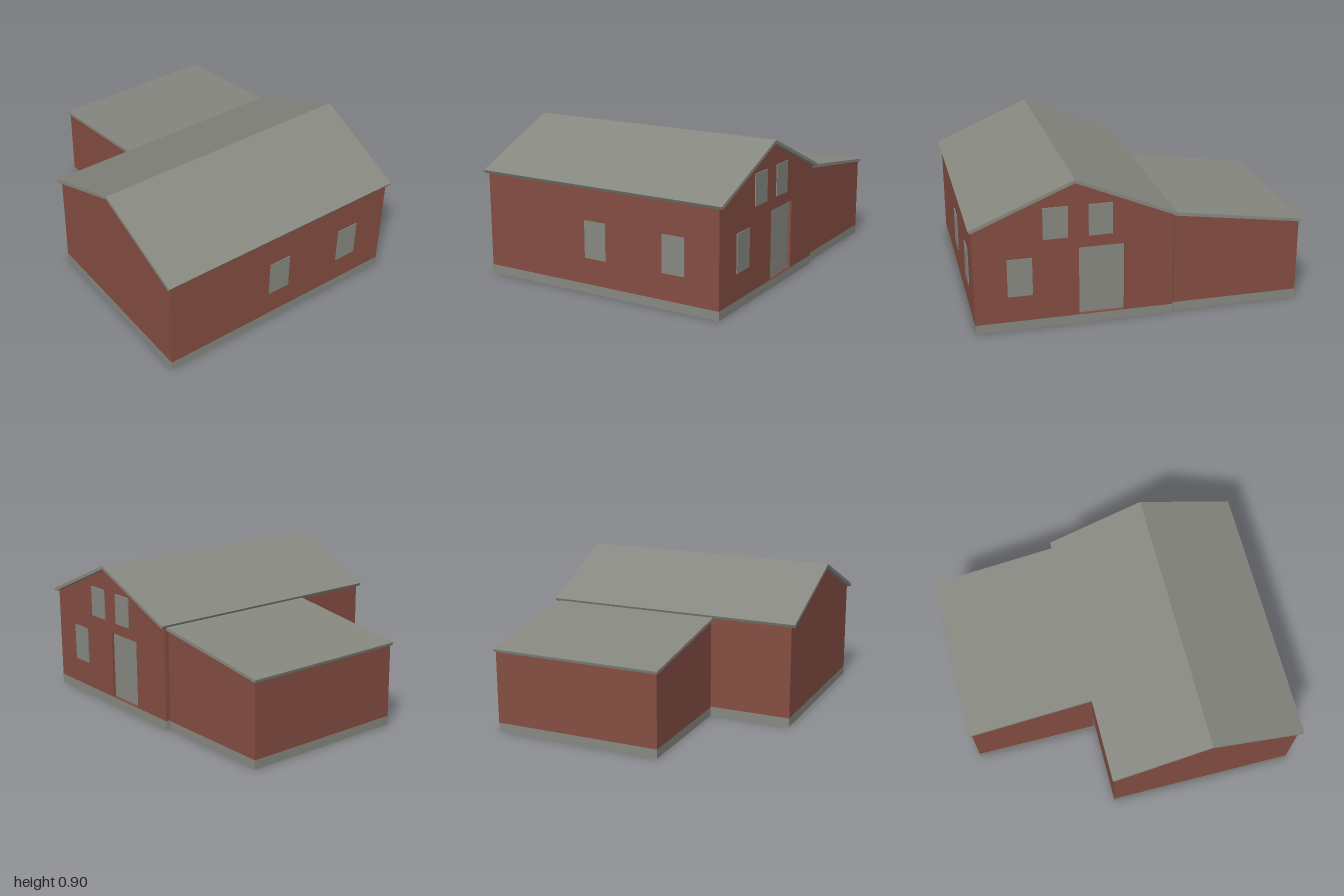
import * as THREE from 'three';

const brick = new THREE.MeshStandardMaterial({ color: 0x844d42, side: THREE.DoubleSide });
brick.name = 'brick red';
const grey = new THREE.MeshStandardMaterial({ color: 0x868880, side: THREE.DoubleSide });
grey.name = 'slate grey';

const BAND = 0.055; // plinth height

function add(group, name, geometry, material, x = 0, y = 0, z = 0) {
  const mesh = new THREE.Mesh(geometry, material);
  mesh.name = name;
  mesh.position.set(x, y, z);
  group.add(mesh);
  return mesh;
}

const polygon = (points) => new THREE.Shape(points.map(([x, y]) => new THREE.Vector2(x, y)));

// Open-bottomed shell: two end walls under a roof line, two side walls, plinth band
function addShell(group, name, roofLine, zBack, zFront, doorHole) {
  const x0 = roofLine[0][0];
  const x1 = roofLine[roofLine.length - 1][0];
  const depth = zFront - zBack;
  const zMid = (zFront + zBack) / 2;
  for (const [side, z] of [['Front', zFront], ['Back', zBack]]) {
    const shape = polygon([[x0, BAND], [x1, BAND], ...[...roofLine].reverse()]);
    if (side === 'Back' && doorHole) shape.holes.push(doorHole);
    const wall = new THREE.ShapeGeometry(shape);
    const band = new THREE.PlaneGeometry(x1 - x0, BAND);
    // end faces look outward
    if (side === 'Back') {
      for (const g of [wall, band]) {
        g.setIndex([...g.index.array].reverse());
        g.computeVertexNormals();
      }
    }
    add(group, name + side + 'Wall', wall, brick, 0, 0, z);
    add(group, name + side + 'Plinth', band, grey, (x0 + x1) / 2, BAND / 2, z);
  }
  for (const [side, [x, top], turn] of [
    ['Left', roofLine[roofLine.length - 1], 1], ['Right', roofLine[0], -1]]) {
    add(group, name + side + 'Wall', new THREE.PlaneGeometry(depth, top - BAND), brick,
      x, (top + BAND) / 2, zMid).rotation.y = turn * Math.PI / 2;
    add(group, name + side + 'Plinth', new THREE.PlaneGeometry(depth, BAND), grey,
      x, BAND / 2, zMid).rotation.y = turn * Math.PI / 2;
  }
}

// Roof slab extruded along z from its cross-section
function roofSlab(points, zBack, zFront) {
  const g = new THREE.ExtrudeGeometry(polygon(points), { depth: zFront - zBack, bevelEnabled: false });
  return g.translate(0, 0, zBack);
}

export function createModel() {
  const house = new THREE.Group();
  house.name = 'house';

  // Main gabled building with a doorway in the back gable
  const zBack = -0.795;
  const door = { x0: 0.095, x1: 0.365, y0: 0.06, y1: 0.48, depth: 0.02 };
  const doorHole = new THREE.Path([
    [door.x0, door.y0], [door.x0, door.y1], [door.x1, door.y1], [door.x1, door.y0],
  ].map(([x, y]) => new THREE.Vector2(x, y)));
  addShell(house, 'main', [[-0.197, 0.632], [0.39, 0.884], [0.975, 0.632]], zBack, 0.795, doorHole);

  // Main roof, with gable ends that lean out slightly towards the ridge
  const mainRoof = roofSlab([
    [-0.205, 0.632], [0.39, 0.885], [0.985, 0.632], [0.995, 0.65], [0.39, 0.905], [-0.213, 0.65],
  ], -0.83, 0.83);
  const p = mainRoof.attributes.position;
  for (let i = 0; i < p.count; i++) {
    const out = Math.abs(p.getX(i) - 0.39) / 0.6;
    p.setZ(i, Math.sign(p.getZ(i)) * (0.83 - 0.01 * out));
  }
  mainRoof.computeVertexNormals();
  add(house, 'mainRoof', mainRoof, grey);

  // Lean-to annex beside the main building
  addShell(house, 'annex', [[-0.985, 0.505], [-0.21, 0.616]], -0.775, 0.28);
  add(house, 'annexRoof', roofSlab([
    [-0.995, 0.503], [-0.2, 0.617], [-0.203, 0.637], [-1, 0.52],
  ], -0.785, 0.29), grey);

  // Recessed door and its reveals
  const w = door.x1 - door.x0, h = door.y1 - door.y0;
  const cx = (door.x0 + door.x1) / 2, cy = (door.y0 + door.y1) / 2;
  const zReveal = zBack + door.depth / 2;
  add(house, 'door', new THREE.BoxGeometry(w, h, 0.006), grey, cx, cy, zBack + door.depth);
  for (const x of [door.x0, door.x1]) {
    add(house, 'doorJamb', new THREE.PlaneGeometry(door.depth, h), brick, x, cy, zReveal)
      .rotation.y = Math.PI / 2;
  }
  for (const y of [door.y0, door.y1]) {
    add(house, 'doorReveal', new THREE.PlaneGeometry(w, door.depth), brick, cx, y, zReveal)
      .rotation.x = Math.PI / 2;
  }

  // Back gable windows: centre x, centre y, width, height
  for (const [x, y, ww, wh] of [
    [0.71, 0.33, 0.145, 0.23], [0.5, 0.645, 0.145, 0.19], [0.237, 0.645, 0.14, 0.19]]) {
    add(house, 'backWindow', new THREE.BoxGeometry(ww, wh, 0.008), grey, x, y, zBack - 0.002);
  }

  // Side windows
  for (const z of [0.02, -0.505]) {
    add(house, 'sideWindow', new THREE.BoxGeometry(0.008, 0.225, 0.145), grey, 0.976, 0.327, z);
  }

  return house;
}
